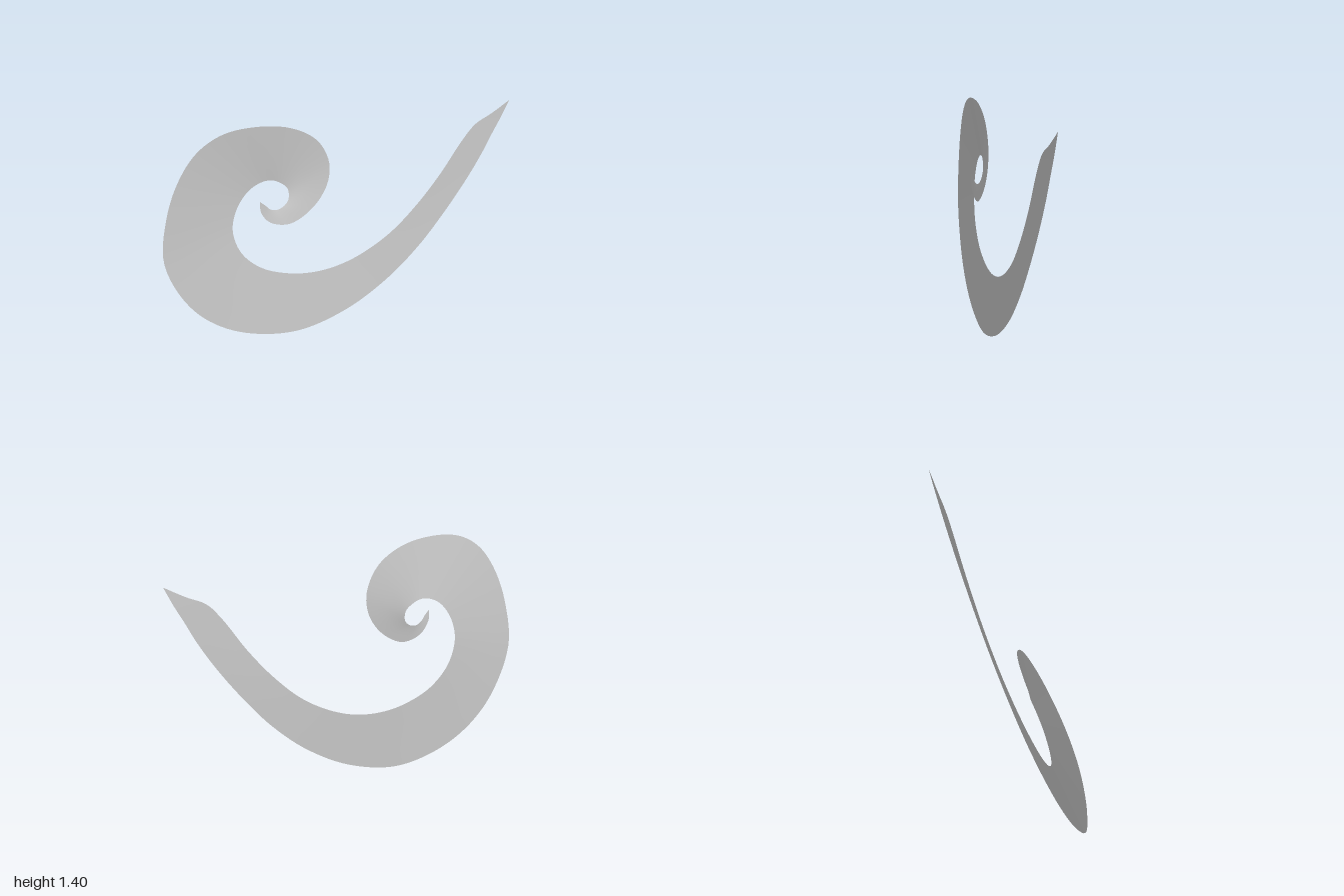
import * as THREE from 'three';

// Outer and inner rims, matched point by point from the blade tip to the curl end
const OUTER = [
  [0.99, 1.295, -0.025], [0.948, 1.194, -0.025], [0.905, 1.103, -0.024], [0.852, 0.986, -0.022],
  [0.767, 0.831, -0.019], [0.638, 0.633, -0.015], [0.478, 0.425, -0.01], [0.275, 0.232, -0.006],
  [0.019, 0.077, -0.002], [-0.27, 0.004, 0], [-0.526, 0.051, 0], [-0.74, 0.174, 0],
  [-0.9, 0.371, 0], [-0.997, 0.686, 0], [-0.954, 0.959, 0.003], [-0.868, 1.173, 0.007],
  [-0.761, 1.317, 0.011], [-0.633, 1.392, 0.014], [-0.473, 1.408, 0.016], [-0.286, 1.37, 0.015],
  [-0.147, 1.274, 0.013], [-0.083, 1.13, 0.012], [-0.099, 0.996, 0.015], [-0.184, 0.873, 0.02],
  [-0.312, 0.804, 0.024], [-0.419, 0.836, 0.026], [-0.468, 0.911, 0.027], [-0.47, 0.98, 0.027],
];
const INNER = [
  [0.99, 1.295, -0.025], [0.884, 1.232, -0.023], [0.788, 1.183, -0.021], [0.713, 1.092, -0.02],
  [0.596, 0.905, -0.02], [0.462, 0.729, -0.02], [0.302, 0.569, -0.02], [0.126, 0.462, -0.02],
  [-0.019, 0.414, -0.02], [-0.163, 0.403, -0.02], [-0.312, 0.43, -0.021], [-0.473, 0.51, -0.022],
  [-0.58, 0.638, -0.024], [-0.617, 0.793, -0.026], [-0.59, 0.916, -0.026], [-0.537, 1.002, -0.026],
  [-0.489, 1.044, -0.025], [-0.435, 1.066, -0.024], [-0.387, 1.066, -0.022], [-0.345, 1.044, -0.018],
  [-0.312, 1.012, -0.013], [-0.304, 0.975, -0.007], [-0.312, 0.938, 0], [-0.339, 0.911, 0.006],
  [-0.382, 0.9, 0.012], [-0.419, 0.919, 0.018], [-0.441, 0.948, 0.023], [-0.47, 0.98, 0.027],
];

const rim = (points) => new THREE.CatmullRomCurve3(points.map((p) => new THREE.Vector3(...p)));

// Open sheet ruled between two curves
function ribbon(a, b, along, across) {
  const pos = [], index = [], row = across + 1;
  for (let i = 0; i <= along; i++) {
    const p = a.getPoint(i / along), q = b.getPoint(i / along);
    for (let j = 0; j <= across; j++) {
      const v = p.clone().lerp(q, j / across);
      pos.push(v.x, v.y, v.z);
      if (i < along && j < across) {
        const k = i * row + j;
        index.push(k, k + 1, k + row, k + 1, k + row + 1, k + row);
      }
    }
  }
  const geometry = new THREE.BufferGeometry();
  geometry.setAttribute('position', new THREE.Float32BufferAttribute(pos, 3));
  geometry.setIndex(index);
  geometry.computeVertexNormals();
  return geometry;
}

export function createModel() {
  const group = new THREE.Group();
  group.name = 'spiralBlade';
  const material = new THREE.MeshStandardMaterial({ color: 0xcccccc, side: THREE.DoubleSide });

  // Thin curled blade, slightly twisted so the curl passes in front
  const blade = new THREE.Mesh(ribbon(rim(OUTER), rim(INNER), 27 * 6, 4), material);
  blade.name = 'curledBlade';
  group.add(blade);
  return group;
}
